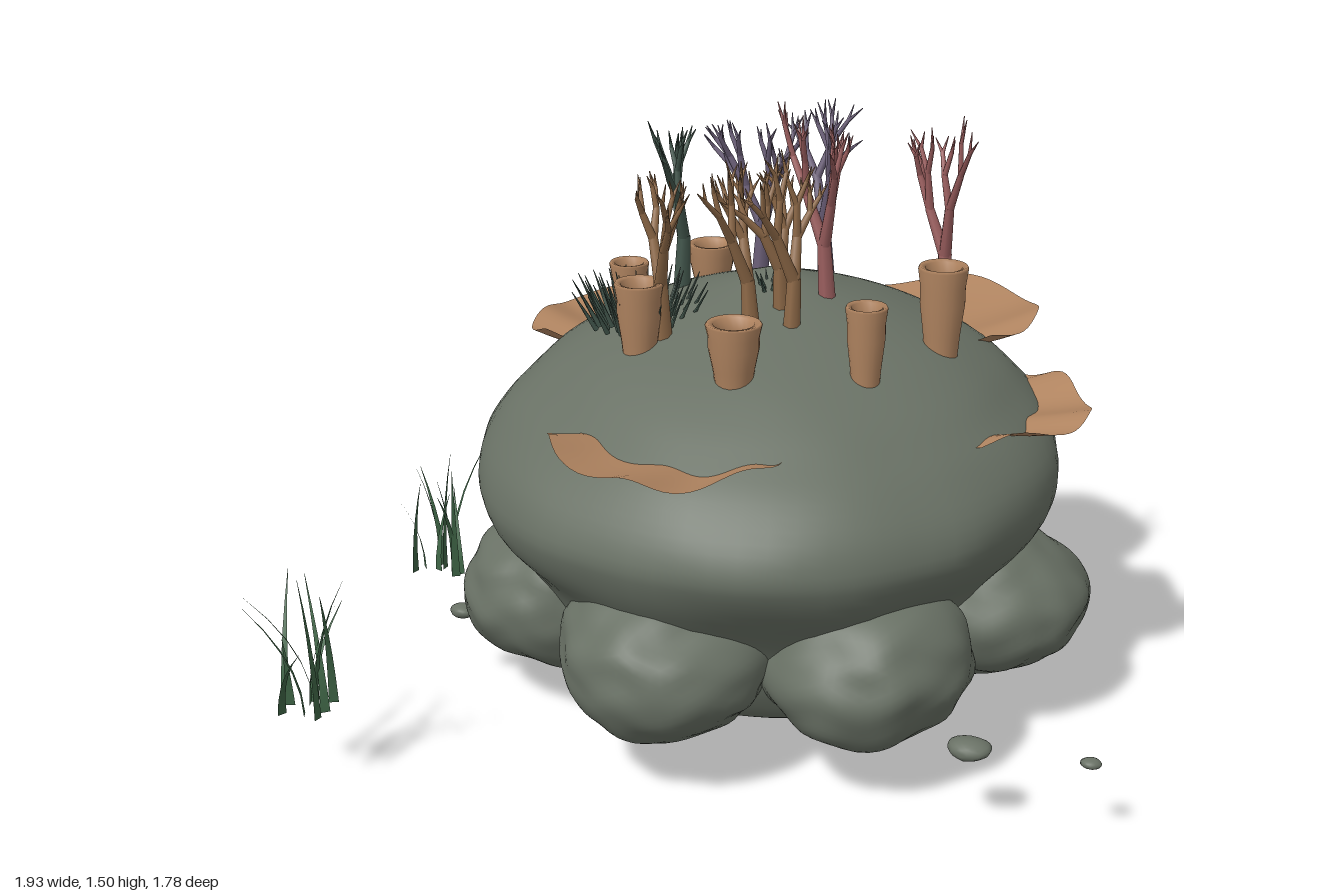
import * as THREE from 'three';
import { mergeGeometries, mergeVertices } from 'three/addons/utils/BufferGeometryUtils.js';

const mat = (name, color, side = THREE.FrontSide) => {
  const m = new THREE.MeshStandardMaterial({ color, side });
  m.name = name;
  return m;
};

function seeded(seed) {
  let s = seed * 7919 + 17;
  return () => ((s = (s * 16807) % 2147483647) / 2147483647);
}

// Smooth lumpy noise, roughly -1..1
const lump = (x, y, z, f, o = 0) =>
  (Math.sin(x * f + o + 1.7 * Math.sin(z * f * 0.7 + o)) +
    Math.sin(y * f * 1.1 + o * 2 + 1.3 * Math.sin(x * f * 0.9)) +
    Math.sin(z * f * 0.95 + o * 3 + 1.5 * Math.sin(y * f * 0.8))) / 3;

// Weld a geometry, move each vertex by a rule, then smooth it
function sculpt(geometry, rule) {
  geometry.deleteAttribute('uv');
  geometry.deleteAttribute('normal');
  const g = mergeVertices(geometry, 1e-4);
  const p = g.attributes.position, v = new THREE.Vector3();
  for (let i = 0; i < p.count; i++) {
    rule(v.fromBufferAttribute(p, i));
    p.setXYZ(i, v.x, v.y, v.z);
  }
  g.computeVertexNormals();
  return g;
}

function rock(rx, ry, rz, seed, detail = 12) {
  return sculpt(new THREE.IcosahedronGeometry(1, detail), (v) => {
    const k = 1 + 0.08 * lump(v.x, v.y, v.z, 3.2, seed) + 0.035 * lump(v.x, v.y, v.z, 9, seed + 2);
    v.multiplyScalar(k).multiply(new THREE.Vector3(rx, ry, rz));
  });
}

// Main mound: turned profile, leaning back at the top and sideways at the bottom
function moundGeometry() {
  const pts = [[0, 0.01], [0.1, 0.04], [0.28, 0.08], [0.44, 0.13], [0.51, 0.21], [0.55, 0.32], [0.61, 0.42],
    [0.69, 0.52], [0.72, 0.6], [0.71, 0.68], [0.66, 0.76], [0.6, 0.82], [0.53, 0.88], [0.43, 0.94],
    [0.28, 1.0], [0.12, 1.05], [0, 1.09]].map(([r, y]) => new THREE.Vector2(r, y));
  const profile = new THREE.SplineCurve(pts).getPoints(56);
  profile.forEach((p) => { p.x = Math.max(0, p.x); });
  profile[0].x = profile[56].x = 0;
  return sculpt(new THREE.LatheGeometry(profile, 72), (v) => {
    const k = 1 + 0.035 * lump(v.x, v.y, v.z, 5, 1) + 0.014 * lump(v.x, v.y, v.z, 16, 4);
    v.x = v.x * k * 1.03 + 0.06 + Math.max(0, 0.2 - v.y) * 0.6;
    v.z = v.z * k - 0.06 - Math.max(0, v.y - 0.6) * 0.25;
  });
}

// Shelf: pleated sheet from an outer rim curve in towards the mound
function shelfGeometry(rim, y) {
  const curve = new THREE.CatmullRomCurve3(rim.map(([x, z]) => new THREE.Vector3(x, y, z)));
  const nu = 40, nv = 6, pos = [], idx = [];
  for (let i = 0; i <= nu; i++) {
    const u = i / nu, o = curve.getPoint(u);
    for (let j = 0; j <= nv; j++) {
      const s = j / nv, k = 0.5 + 0.5 * s;
      const h = y - 0.05 + 0.05 * s * s + s * 0.013 * Math.sin(u * 19 + y * 30);
      pos.push(0.06 + (o.x - 0.06) * k, h, -0.1 + (o.z + 0.1) * k);
      if (i < nu && j < nv) {
        const a = i * (nv + 1) + j, b = a + nv + 1;
        idx.push(a, a + 1, b, b, a + 1, b + 1);
      }
    }
  }
  const g = new THREE.BufferGeometry();
  g.setAttribute('position', new THREE.Float32BufferAttribute(pos, 3));
  g.setIndex(idx);
  g.computeVertexNormals();
  return g;
}

const UP = new THREE.Vector3(0, 1, 0);
function limb(from, dir, len, r0, r1, sides = 7) {
  const g = new THREE.CylinderGeometry(r1, r0, len, sides, 1);
  g.translate(0, len / 2, 0);
  g.applyQuaternion(new THREE.Quaternion().setFromUnitVectors(UP, dir));
  return g.translate(from.x, from.y, from.z);
}

// Branching coral, fanned mostly in one plane
function coralGeometry(seed, height) {
  const rnd = seeded(seed), parts = [], turn = rnd() * Math.PI;
  const side = new THREE.Vector3(Math.cos(turn), 0, Math.sin(turn));
  const deep = new THREE.Vector3(-side.z, 0, side.x);
  const grow = (from, dir, len, r, level) => {
    parts.push(limb(from, dir, len, r, r * (level === 5 ? 0.2 : 0.72)));
    if (level === 5) return;
    const tip = from.clone().addScaledVector(dir, len * 0.96);
    const n = level === 2 && rnd() > 0.5 ? 3 : 2;
    for (let i = 0; i < n; i++) {
      const a = (i / (n - 1) - 0.5) * (0.75 + rnd() * 0.5);
      const d = dir.clone().addScaledVector(side, a).addScaledVector(deep, (rnd() - 0.5) * 0.7);
      d.y += 0.25;
      grow(tip, d.normalize(), len * (0.62 + rnd() * 0.2), r * 0.68, level + 1);
    }
  };
  const d0 = new THREE.Vector3((rnd() - 0.5) * 0.15, 1, (rnd() - 0.5) * 0.15).normalize();
  grow(new THREE.Vector3(), d0, height * 0.36, 0.024, 1);
  return mergeGeometries(parts);
}

// Tuft of flat tapering blades that bend outwards
function tuftGeometry(seed) {
  const rnd = seeded(seed), pos = [], idx = [];
  for (let b = 0; b < 11; b++) {
    const a = b * 2.4 + rnd(), h = 0.18 + rnd() * 0.17, reach = 0.03 + rnd() * 0.12;
    const x0 = (rnd() - 0.5) * 0.13, z0 = (rnd() - 0.5) * 0.1;
    const c = Math.cos(a), s = Math.sin(a), start = pos.length / 3;
    for (let i = 0; i <= 5; i++) {
      const t = i / 5, w = 0.011 * (1 - t) + 0.0005, q = reach * t * t;
      pos.push(x0 + c * q - s * w, h * t, z0 + s * q + c * w, x0 + c * q + s * w, h * t, z0 + s * q - c * w);
      const k = start + i * 2;
      if (i < 5) idx.push(k, k + 1, k + 2, k + 1, k + 3, k + 2);
    }
  }
  const g = new THREE.BufferGeometry();
  g.setAttribute('position', new THREE.Float32BufferAttribute(pos, 3));
  g.setIndex(idx);
  g.computeVertexNormals();
  return g;
}

// Cushion of outward-leaning spikes
function spikesGeometry(count, radius, len) {
  const parts = [];
  for (let i = 0; i < count; i++) {
    const r = radius * Math.sqrt((i + 0.5) / count), a = i * 2.39996;
    const lean = 0.1 + (r / radius) * 0.5;
    const d = new THREE.Vector3(Math.cos(a) * lean, 1, Math.sin(a) * lean).normalize();
    parts.push(limb(new THREE.Vector3(Math.cos(a) * r, 0, Math.sin(a) * r), d, len, 0.007, 0.001, 5));
  }
  return mergeGeometries(parts);
}

export function createModel() {
  const model = new THREE.Group();
  const stone = mat('mossy stone', 0x697165);
  const clay = mat('tan shelf', 0xb08460, THREE.DoubleSide);
  const brown = mat('brown coral', 0x8f6a48);
  const pink = mat('pink coral', 0x9c5f5f);
  const purple = mat('purple coral', 0x6b5f78);
  const teal = mat('dark green coral', 0x42564c);
  const grass = mat('grass green', 0x3f6546, THREE.DoubleSide);
  const add = (name, g, m, x = 0, y = 0, z = 0) => {
    const mesh = new THREE.Mesh(g, m);
    mesh.name = name;
    mesh.position.set(x, y, z);
    model.add(mesh);
    return mesh;
  };

  add('mound', moundGeometry(), stone);

  // Ring of seven boulders round the foot
  for (let i = 0; i < 7; i++) {
    const a = -0.23 + (i * Math.PI * 2) / 7;
    add('boulder', rock(0.26, 0.195, 0.26, i * 1.9), stone,
      0.08 + 0.54 * Math.sin(a), 0.31, -0.09 + 0.54 * Math.cos(a));
  }

  // Loose pebbles: x, y, z, size
  [[0.7, 0.22, 0.54, 0.05], [0.97, 0.213, 0.52, 0.024], [0.11, 0.21, -0.9, 0.015], [-0.67, 0.22, 0.2, 0.035]]
    .forEach(([x, y, z, s], i) => add('pebble', rock(s, s * 0.5, s * 0.8, i, 3), stone, x, y, z));

  // Shelves: height and rim points
  [[0.84, [[-0.32, 0.46], [-0.25, 0.58], [-0.1, 0.68], [0.02, 0.705], [0.14, 0.64], [0.22, 0.52], [0.25, 0.39]]],
    [0.81, [[0.64, 0.18], [0.74, 0.1], [0.84, 0], [0.86, -0.1], [0.81, -0.24], [0.74, -0.35], [0.64, -0.36]]],
    [0.91, [[0.58, -0.28], [0.65, -0.42], [0.66, -0.55], [0.57, -0.71], [0.4, -0.78], [0.2, -0.68], [0.12, -0.57]]],
    [0.875, [[-0.25, -0.52], [-0.3, -0.58], [-0.45, -0.55], [-0.59, -0.45], [-0.61, -0.3], [-0.61, -0.19], [-0.54, -0.12]]],
  ].forEach(([y, rim]) => add('shelf', shelfGeometry(rim, y), clay));

  // Open tube sponges: x, z, base, top, radius
  [[-0.2, 0.14, 0.925, 1.12, 0.06], [0.07, 0.26, 0.93, 1.08, 0.067], [0.36, 0.16, 0.915, 1.115, 0.05],
    [0.49, -0.09, 0.92, 1.15, 0.061], [-0.31, -0.11, 0.94, 1.09, 0.05], [-0.17, -0.36, 0.95, 1.08, 0.062],
  ].forEach(([x, z, y0, y1, r]) => {
    const h = y1 - y0;
    const pts = [[0.66, 0], [0.74, 0.25], [0.9, 0.6], [0.9, 0.78], [1, 0.97], [0.94, 1], [0.72, 0.98], [0.62, 0.8], [0.5, 0.1]];
    add('tubeSponge', new THREE.LatheGeometry(pts.map(([a, b]) => new THREE.Vector2(a * r, b * h)), 20), clay, x, y0, z);
  });

  // Branching corals: material, x, base, z, height
  [[purple, 0.1, 0.95, -0.51, 0.48], [purple, -0.05, 0.97, -0.39, 0.45], [pink, 0.45, 0.93, -0.31, 0.5],
    [pink, 0.2, 0.98, -0.12, 0.54], [teal, -0.2, 0.97, -0.19, 0.48], [brown, -0.15, 0.95, 0.11, 0.47],
    [brown, 0.06, 0.96, 0.07, 0.46], [brown, 0.15, 0.96, 0.05, 0.47], [brown, 0.11, 0.98, -0.02, 0.44],
  ].forEach(([m, x, y, z, h], i) => add('branchCoral', coralGeometry(i + 3, h), m, x, y, z));

  // Spiky cushions on the crown
  add('spikeCushion', spikesGeometry(60, 0.12, 0.12), teal, -0.24, 0.97, 0.01);
  add('smallSpikes', spikesGeometry(9, 0.02, 0.06), teal, 0.06, 1.04, -0.09);

  // Grass tufts beside the mound
  add('grassTuft', tuftGeometry(5), grass, -0.83, 0.215, -0.04);
  add('grassTuft', tuftGeometry(9), grass, -0.83, 0.215, 0.77);
  return model;
}
